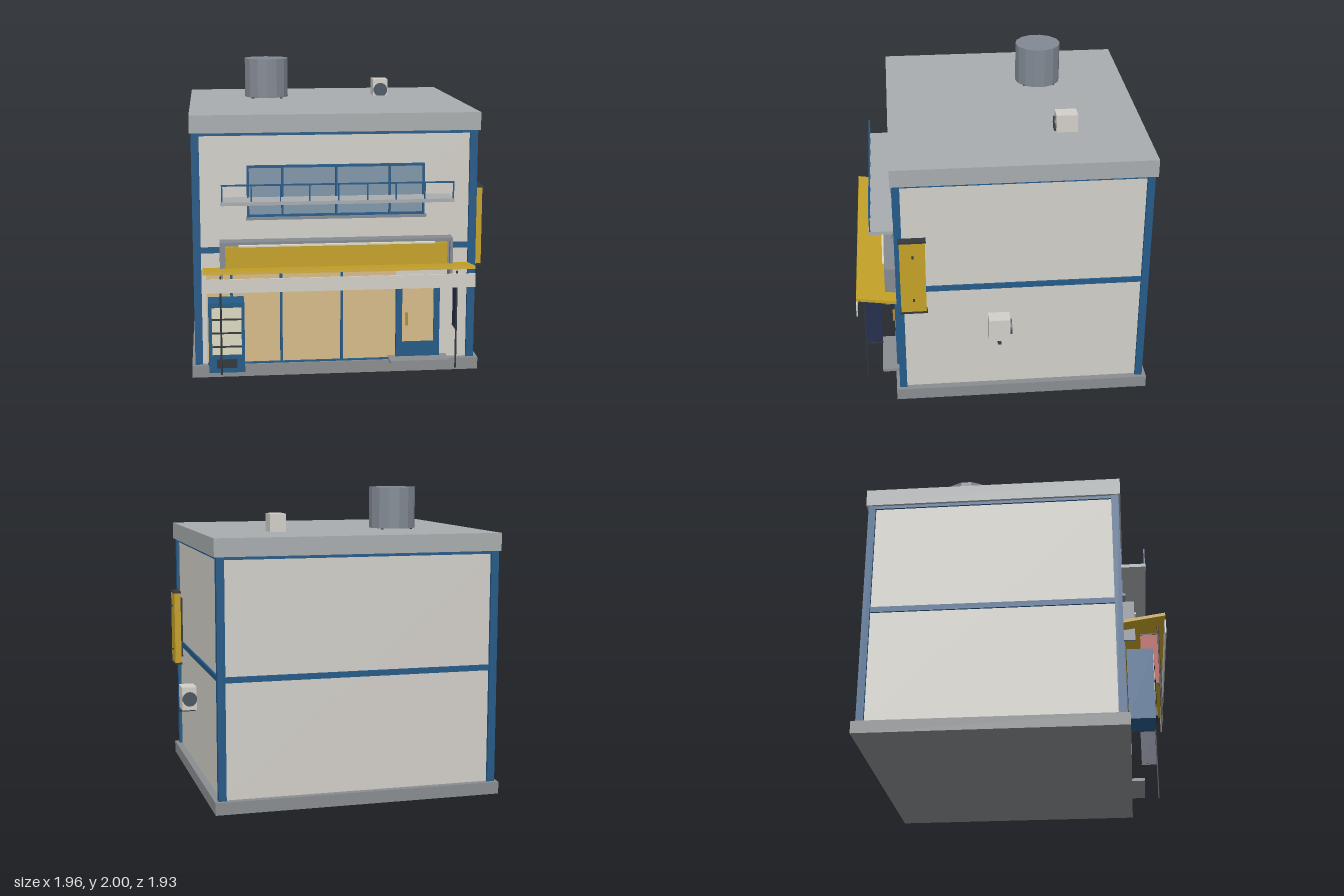
import * as THREE from 'three';

const mat = (color) => new THREE.MeshStandardMaterial({ color });
const M = {
  wall: mat(0xd2cfc8), blue: mat(0x255a87), base: mat(0x8a8d8f), roof: mat(0xa8acae),
  yellow: mat(0xc4a127), tan: mat(0xd6bb88), glass: mat(0x8096a8), dark: mat(0x33383d),
  fan: mat(0x4b5560), navy: mat(0x26304d), red: mat(0xa83228), cream: mat(0xdcd8bf),
  tank: mat(0x828993), frame: mat(0x858b92), gold: mat(0xb08a3c),
};
M.tank.flatShading = true;

export function createModel() {
  const model = new THREE.Group();

  // Box given by its limits on each axis
  const box = (name, m, x0, x1, y0, y1, z0, z1, parent = model) => {
    const mesh = new THREE.Mesh(new THREE.BoxGeometry(x1 - x0, y1 - y0, z1 - z0), m);
    mesh.position.set((x0 + x1) / 2, (y0 + y1) / 2, (z0 + z1) / 2);
    mesh.name = name;
    parent.add(mesh);
    return mesh;
  };
  const cyl = (name, m, r, h, sides, x, y, z, parent = model) => {
    const mesh = new THREE.Mesh(new THREE.CylinderGeometry(r, r, h, sides), m);
    mesh.position.set(x, y, z);
    mesh.name = name;
    parent.add(mesh);
    return mesh;
  };
  const group = (name) => {
    const g = new THREE.Group();
    g.name = name;
    model.add(g);
    return g;
  };

  // Building shell
  box('foundation', M.base, -0.98, 0.91, 0, 0.08, -0.965, 0.725);
  box('walls', M.wall, -0.94, 0.865, 0.08, 1.605, -0.92, 0.68);
  box('roofSlab', M.roof, -0.97, 0.9, 1.605, 1.72, -0.955, 0.715);

  // Corner columns and the two rings of beams
  const steel = group('steelFrame');
  for (const x of [-0.96, 0.835])
    for (const z of [-0.94, 0.655])
      box('column', M.blue, x, x + 0.05, 0.08, 1.605, z, z + 0.048, steel);
  for (const [y0, y1] of [[0.825, 0.862], [1.585, 1.605]]) {
    for (const z of [-0.932, 0.665]) box('beam', M.blue, -0.91, 0.835, y0, y1, z, z + 0.03, steel);
    for (const x of [-0.952, 0.847]) box('beam', M.blue, x, x + 0.03, y0, y1, -0.892, 0.655, steel);
  }

  // Upper window
  const win = group('upperWindow');
  box('glass', M.glass, -0.6, 0.53, 1.07, 1.38, 0.67, 0.692, win);
  for (const y of [1.06, 1.378]) box('windowRail', M.blue, -0.61, 0.54, y, y + 0.014, 0.67, 0.71, win);
  for (const x of [-0.603, -0.383, -0.035, 0.312, 0.533])
    box('mullion', M.blue, x - 0.007, x + 0.007, 1.06, 1.39, 0.67, 0.708, win);
  box('sill', M.frame, -0.617, 0.55, 1.043, 1.06, 0.67, 0.725, win);

  // Balcony ledge with railing
  const balcony = group('balcony');
  box('ledge', M.roof, -0.778, 0.705, 1.165, 1.187, 0.68, 0.862, balcony);
  for (let i = 0; i <= 8; i++) {
    const x = -0.771 + i * 0.1838;
    box('railPost', M.blue, x - 0.004, x + 0.004, 1.187, 1.29, 0.85, 0.858, balcony);
  }
  box('handrail', M.blue, -0.776, 0.704, 1.288, 1.298, 0.849, 0.859, balcony);

  // Fascia sign above the canopy
  const fascia = group('fasciaSign');
  box('backing', M.frame, -0.785, 0.715, 0.72, 0.9, 0.68, 0.74, fascia);
  box('rim', M.frame, -0.79, 0.72, 0.893, 0.91, 0.68, 0.775, fascia);
  for (const x of [-0.79, 0.702]) box('rim', M.frame, x, x + 0.018, 0.64, 0.893, 0.68, 0.775, fascia);
  box('panel', M.yellow, -0.755, 0.685, 0.72, 0.878, 0.74, 0.765, fascia);
  box('lightStrip', M.cream, -0.67, 0.6, 0.88, 0.89, 0.74, 0.788, fascia);

  // Canopy rising outwards, with a hanging valance
  const canopy = group('canopy');
  const board = box('canopyBoard', M.yellow, -0.9, 0.83, 0.728, 0.748, 0.695, 0.965, canopy);
  board.rotation.x = -0.145;
  box('valance', M.wall, -0.9, 0.83, 0.63, 0.718, 0.957, 0.966, canopy);

  // Shop front
  const shop = group('shopFront');
  box('shopGlass', M.tan, -0.88, 0.36, 0.085, 0.7, 0.67, 0.69, shop);
  box('shopSill', M.blue, -0.88, 0.36, 0.08, 0.088, 0.67, 0.71, shop);
  for (const x of [-0.718, -0.396, 0.001])
    box('shopMullion', M.blue, x - 0.008, x + 0.008, 0.08, 0.7, 0.67, 0.71, shop);

  // Door: four frame members, a panel and a handle
  const door = group('door');
  box('doorStile', M.blue, 0.36, 0.4, 0.09, 0.62, 0.67, 0.718, door);
  box('doorStile', M.blue, 0.61, 0.65, 0.09, 0.62, 0.67, 0.718, door);
  box('doorTop', M.blue, 0.4, 0.61, 0.58, 0.62, 0.67, 0.718, door);
  box('doorBottom', M.blue, 0.4, 0.61, 0.09, 0.2, 0.67, 0.718, door);
  box('doorPanel', M.tan, 0.4, 0.61, 0.2, 0.58, 0.67, 0.71, door);
  box('doorHandle', M.gold, 0.423, 0.436, 0.315, 0.4, 0.71, 0.735, door);
  box('doorStep', M.base, 0.31, 0.7, 0.08, 0.1, 0.68, 0.815);

  // Vending machine
  const vending = group('vendingMachine');
  box('cabinet', M.blue, -0.87, -0.64, 0.08, 0.54, 0.715, 0.877, vending);
  box('display', M.cream, -0.848, -0.66, 0.2, 0.51, 0.87, 0.88, vending);
  for (const y of [0.255, 0.345, 0.435])
    box('shelf', M.dark, -0.848, -0.66, y - 0.005, y + 0.005, 0.87, 0.888, vending);
  box('slot', M.dark, -0.82, -0.69, 0.115, 0.17, 0.87, 0.89, vending);

  // Banner poles at both ends of the shop front
  for (const [x, m] of [[-0.79, M.red], [0.72, M.navy]]) {
    const banner = group('banner');
    cyl('bannerPole', M.dark, 0.006, 0.645, 8, x, 0.4025, 0.917, banner);
    box('bannerCloth', m, x - 0.003, x + 0.003, 0.345, 0.67, 0.805, 0.915, banner);
    for (const y of [0.34, 0.672]) box('bannerRod', M.dark, x - 0.005, x + 0.005, y - 0.004, y + 0.004, 0.803, 0.917, banner);
  }

  // Projecting sign on the left wall
  const sign = group('sideSign');
  box('signBody', M.yellow, 0.884, 0.928, 0.71, 1.222, 0.51, 0.673, sign);
  box('signBracket', M.dark, 0.86, 0.886, 0.75, 1.18, 0.55, 0.64, sign);
  for (const y of [0.7, 1.22]) box('signCap', M.dark, 0.88, 0.935, y, y + 0.011, 0.503, 0.68, sign);
  for (const y of [0.803, 1.122]) box('signBolt', M.dark, 0.925, 0.945, y - 0.006, y + 0.006, 0.584, 0.597, sign);

  // Wall unit with a fan facing backwards
  const unit = group('wallUnit');
  box('unitBody', M.wall, 0.86, 0.965, 0.472, 0.632, -0.03, 0.11, unit);
  cyl('unitFan', M.fan, 0.05, 0.014, 14, 0.914, 0.55, -0.036, unit).rotation.x = Math.PI / 2;
  box('unitBracket', M.dark, 0.86, 0.976, 0.452, 0.463, 0.03, 0.053, unit);
  box('unitStrut', M.dark, 0.88, 0.9, 0.46, 0.475, 0.03, 0.053, unit);

  // Roof tank on short legs
  const tank = group('roofTank');
  cyl('tankBody', M.tank, 0.155, 0.272, 14, -0.43, 1.864, -0.35, tank);
  for (const sx of [-1, 1])
    for (const sz of [-1, 1])
      cyl('tankLeg', M.dark, 0.009, 0.02, 8, -0.43 + sx * 0.1, 1.725, -0.35 + sz * 0.1, tank);

  // Roof vent with a fan facing forwards
  const vent = group('roofVent');
  box('ventBody', M.wall, 0.345, 0.45, 1.72, 1.838, -0.51, -0.37, vent);
  cyl('ventFan', M.fan, 0.05, 0.012, 14, 0.397, 1.762, -0.366, vent).rotation.x = Math.PI / 2;

  return model;
}
